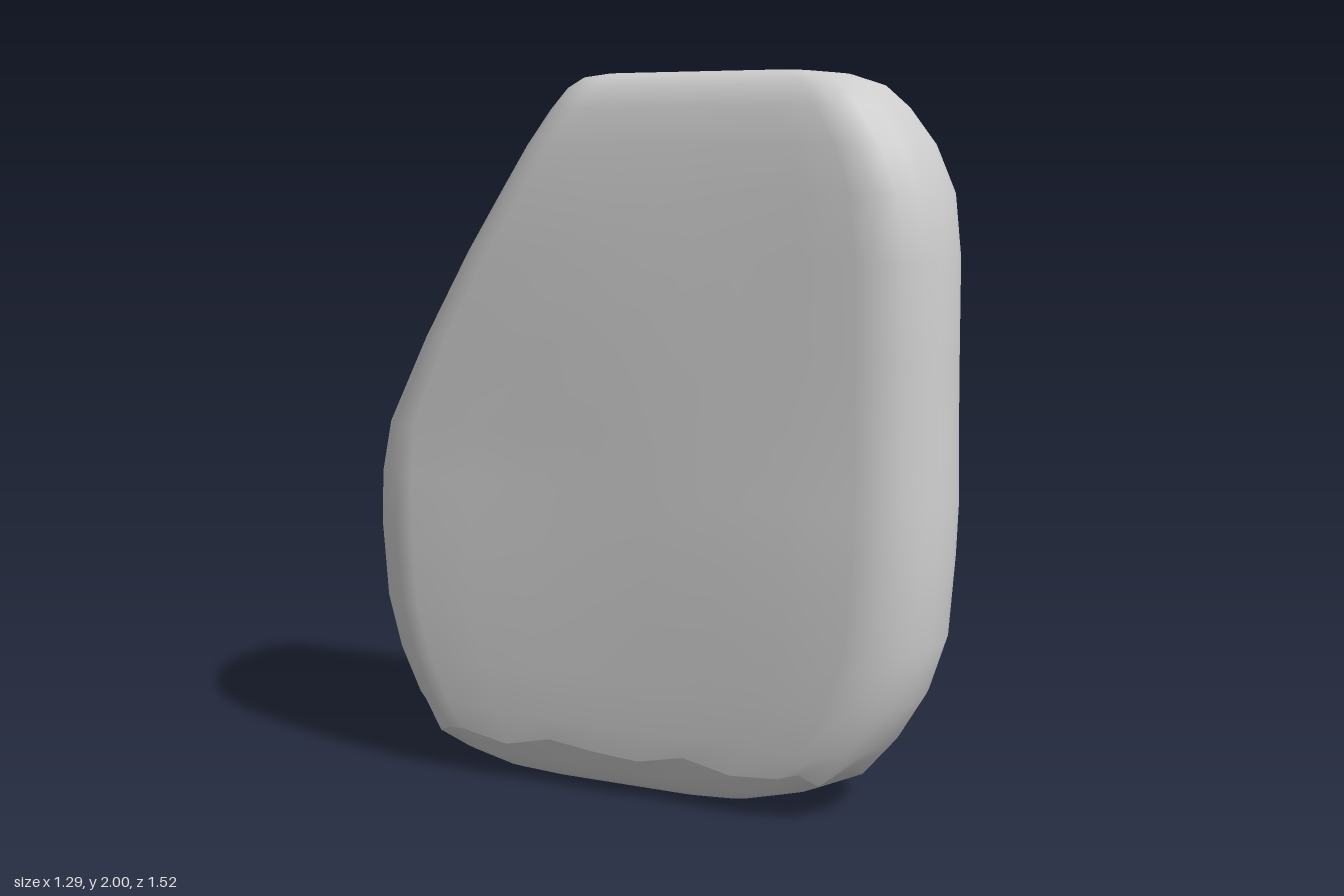
import * as THREE from 'three';

// Horizontal sections of the slab: height, two ends along the slab, centre across it,
// half thickness, corner radius at the low end and at the high end
const BASE = [
  [0.0, -0.32, 0.24, -0.09, 0.09, 0.08, 0.08],
  [0.02, -0.47, 0.39, -0.085, 0.13, 0.12, 0.12],
  [0.06, -0.6, 0.53, -0.08, 0.165, 0.15, 0.15],
  [0.12, -0.68, 0.64, -0.072, 0.203, 0.17, 0.18],
];
const BODY = [
  [0.12, -0.68, 0.64, -0.072, 0.203, 0.17, 0.18],
  [0.2, -0.735, 0.72, -0.066, 0.215, 0.18, 0.19],
  [0.33, -0.8, 0.795, -0.053, 0.222, 0.18, 0.2],
  [0.48, -0.845, 0.84, -0.043, 0.224, 0.18, 0.2],
  [0.7, -0.87, 0.85, -0.026, 0.225, 0.18, 0.2],
  [0.85, -0.87, 0.85, -0.009, 0.225, 0.17, 0.2],
  [1.0, -0.835, 0.842, 0.003, 0.223, 0.14, 0.2],
  [1.25, -0.71, 0.83, 0.029, 0.228, 0.11, 0.2],
  [1.5, -0.575, 0.82, 0.054, 0.231, 0.11, 0.2],
  [1.67, -0.475, 0.795, 0.075, 0.232, 0.11, 0.2],
  [1.8, -0.4, 0.735, 0.086, 0.225, 0.11, 0.19],
  [1.9, -0.34, 0.66, 0.09, 0.207, 0.12, 0.18],
  [1.96, -0.3, 0.59, 0.092, 0.182, 0.12, 0.15],
  [1.99, -0.265, 0.5, 0.092, 0.142, 0.11, 0.12],
  [2.0, -0.21, 0.4, 0.09, 0.09, 0.08, 0.08],
];

const ARC = 5, SIDE = 7;
const DIR = new THREE.Vector2(0.58, 0.815).normalize();

// Rounded rectangle, counterclockwise, with extra points along both broad faces
function section([y, lo, hi, mid, half, rLo, rHi]) {
  const pts = [];
  const arc = (cu, cv, r, start) => {
    for (let i = 0; i <= ARC; i++) {
      const a = start + (i / ARC) * Math.PI / 2;
      pts.push([cu + r * Math.cos(a), cv + r * Math.sin(a)]);
    }
  };
  const side = (from, to, v) => {
    for (let i = 1; i < SIDE; i++) pts.push([from + (to - from) * i / SIDE, v]);
  };
  arc(hi - rHi, mid + half - rHi, rHi, 0);
  side(hi - rHi, lo + rLo, mid + half);
  arc(lo + rLo, mid + half - rLo, rLo, Math.PI / 2);
  arc(lo + rLo, mid - half + rLo, rLo, Math.PI);
  side(lo + rLo, hi - rHi, mid - half);
  arc(hi - rHi, mid - half + rHi, rHi, Math.PI * 1.5);
  return pts.map(([u, v], k) => {
    // Slight twist towards the top, gentle wear, and a ragged line above the base
    const wave = 0.004 * Math.sin(5 * u + 4 * y) * Math.sin(Math.PI * y / 2);
    const w = v + wave + 0.012 * u * y;
    const h = y === 0.12 ? y + 0.018 * Math.sin(k * 2.3) : y;
    return [DIR.x * u + DIR.y * w, h, DIR.y * u - DIR.x * w];
  });
}

// Skin over the sections, closed at the bottom or at the top
function loft(rows, closeTop) {
  const rings = rows.map(section);
  const n = rings[0].length;
  const index = [];
  for (let i = 0; i < rings.length - 1; i++) {
    for (let j = 0; j < n; j++) {
      const k = (j + 1) % n;
      const a = i * n + j, b = i * n + k, c = b + n, d = a + n;
      index.push(a, b, c, a, c, d);
    }
  }
  const capRing = closeTop ? rings.length - 1 : 0;
  const centre = [0, 1, 2].map(c => rings[capRing].reduce((s, p) => s + p[c], 0) / n);
  const m = rings.length * n;
  for (let j = 0; j < n; j++) {
    const a = capRing * n + j, b = capRing * n + (j + 1) % n;
    if (closeTop) index.push(a, b, m); else index.push(b, a, m);
  }
  const geo = new THREE.BufferGeometry();
  geo.setAttribute('position', new THREE.Float32BufferAttribute([...rings.flat(2), ...centre], 3));
  geo.setIndex(index);
  geo.computeVertexNormals();
  return geo;
}

export function createModel() {
  const group = new THREE.Group();
  group.name = 'standingStone';
  const stone = new THREE.MeshStandardMaterial({ color: 0xcccccc });
  stone.name = 'pale grey stone';

  // Leaning slab with one cut shoulder
  const body = new THREE.Mesh(loft(BODY, true), stone);
  body.name = 'stoneBody';

  // Undercut foot, separated by a hard crease
  const base = new THREE.Mesh(loft(BASE, false), stone);
  base.name = 'stoneBase';

  group.add(body, base);
  return group;
}
